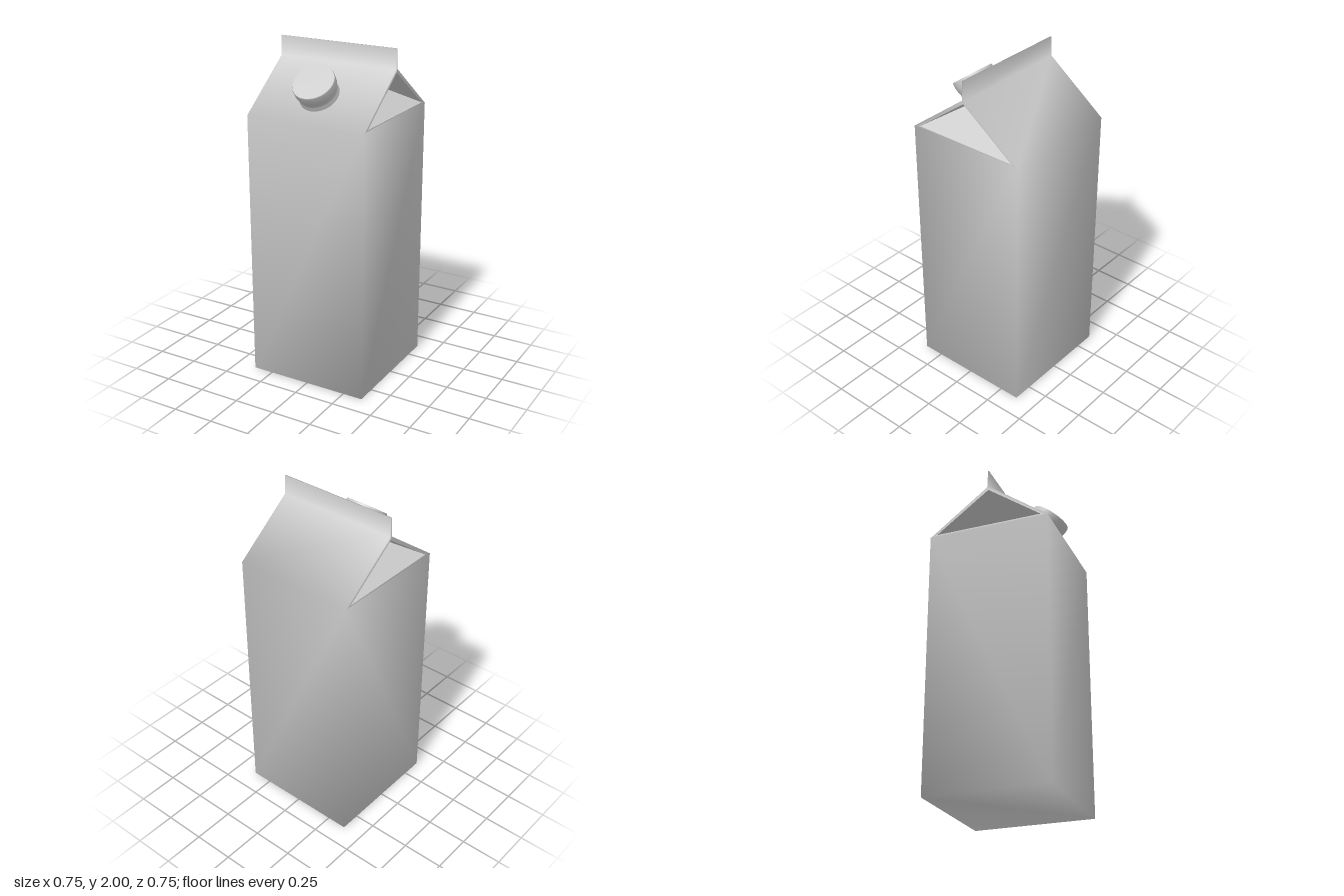
import * as THREE from 'three';

const HALF = 0.373;    // half width of the square carton
const SHOULDER = 1.61; // top of the straight walls
const RIDGE = 1.885;   // where the roof panels meet the sealed fin

const material = new THREE.MeshStandardMaterial({ color: 0xcccccc });

function named(name, geometry, mat = material) {
  const mesh = new THREE.Mesh(geometry, mat);
  mesh.name = name;
  return mesh;
}

function surface(points, index) {
  const geometry = new THREE.BufferGeometry();
  geometry.setAttribute('position', new THREE.Float32BufferAttribute(points.flat(), 3));
  geometry.setIndex(index);
  geometry.computeVertexNormals();
  return geometry;
}

// Gable outline as [z, y], running up the front and down the back
const outline = [
  [HALF, 0], [HALF, SHOULDER], [0.008, RIDGE], [0.003, 2],
  [-0.003, 2], [-0.008, RIDGE], [-HALF, SHOULDER], [-HALF, 0],
];
// Triangular opening in each gable end
const opening = [[0.33, 1.622], [0, 1.865], [-0.33, 1.622]];

// Walls, roof, fin and gable rims as one softly shaded shell
function cartonGeometry() {
  const section = [...outline, ...opening];
  const n = section.length;
  const points = [HALF, -HALF].flatMap(x => section.map(([z, y]) => [x, y, z]));
  const index = [];
  outline.forEach((_, i) => {
    const j = (i + 1) % outline.length;
    index.push(n + i, i, j, n + i, j, n + j);
  });
  const end = [
    [0, 7, 6], [0, 6, 1],             // side wall
    [1, 6, 10], [1, 10, 8],           // rim below the opening
    [1, 8, 9], [1, 9, 2],             // front rim
    [6, 5, 9], [6, 9, 10],            // back rim
    [2, 9, 5], [2, 5, 4], [2, 4, 3],  // end of the fin
  ];
  for (const [a, b, c] of end) index.push(a, b, c, n + a, n + c, n + b);
  return surface(points, index);
}

// Side panel folded inwards under the roof, with its two flaps
function gussetGeometry(side) {
  const points = opening.map(([z, y]) => [side * HALF, y, z]);
  points.push([side * 0.02, 1.83, 0]);
  const index = [0, 2, 3, 2, 1, 3, 1, 0, 3];
  if (side < 0) index.reverse();
  const flat = surface(points, index).toNonIndexed();
  flat.computeVertexNormals();
  return flat;
}

export function createModel() {
  const model = new THREE.Group();
  model.name = 'carton';
  model.add(named('cartonShell', cartonGeometry()));

  const foldMaterial = material.clone();
  foldMaterial.side = THREE.DoubleSide;
  for (const side of [1, -1]) {
    model.add(named(side > 0 ? 'leftGusset' : 'rightGusset', gussetGeometry(side), foldMaterial));
  }

  // Screw cap standing square to the front roof panel
  const cap = new THREE.Group();
  cap.name = 'screwCap';
  const lathe = profile =>
    new THREE.LatheGeometry(profile.map(([r, y]) => new THREE.Vector2(r, y)), 32);
  cap.add(named('capSide', lathe([
    [0.117, -0.01], [0.117, 0.012], [0.113, 0.02], [0.113, 0.034],
    [0.117, 0.046], [0.123, 0.07], [0.124, 0.106], [0.121, 0.112],
  ])));
  const top = named('capTop', new THREE.CircleGeometry(0.121, 32));
  top.rotation.x = -Math.PI / 2;
  top.position.y = 0.112;
  cap.add(top);
  cap.position.set(0, 1.735, 0.203);
  cap.rotation.x = Math.atan2(RIDGE - SHOULDER, HALF);
  model.add(cap);

  return model;
}
